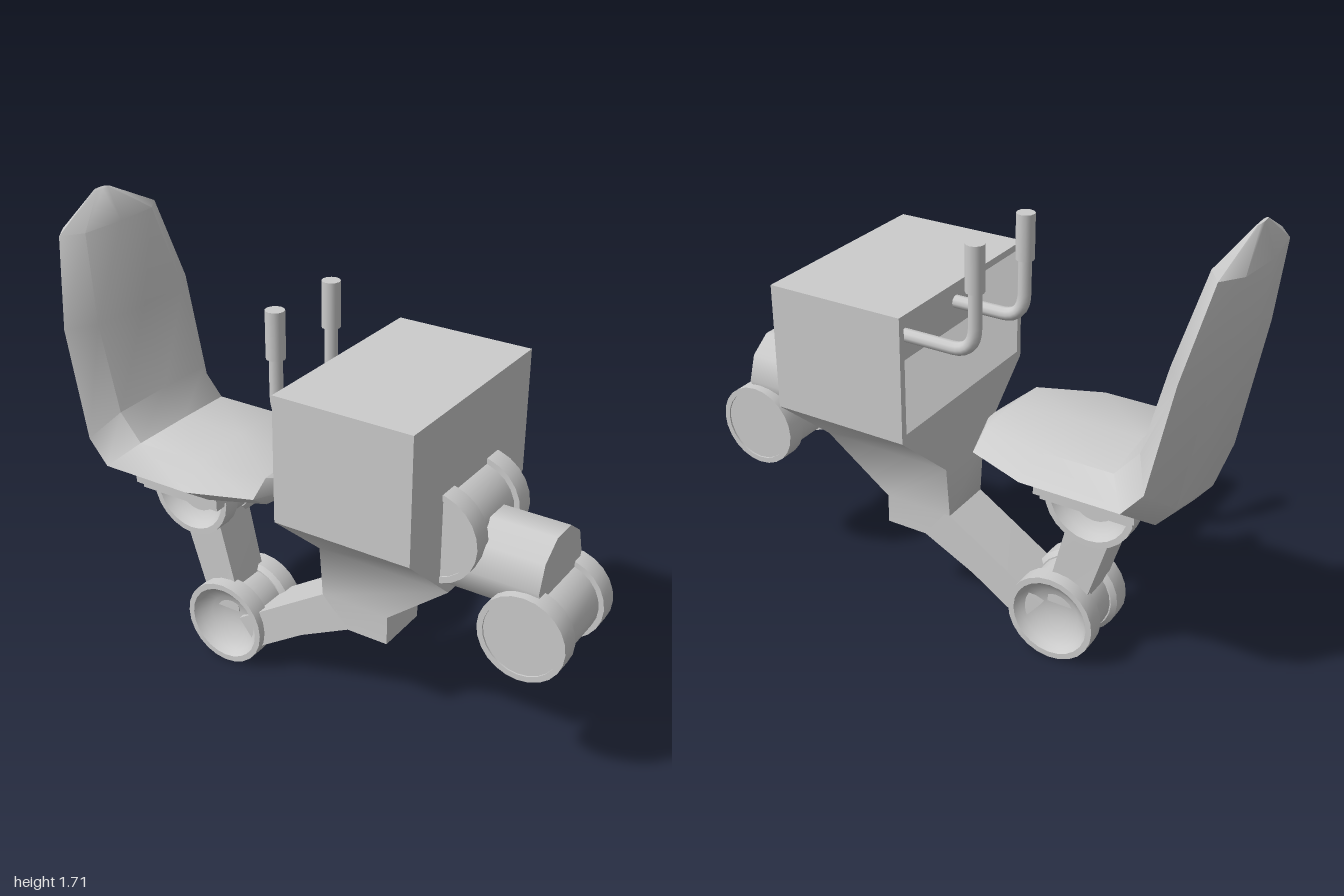
import * as THREE from 'three';
import { toCreasedNormals } from 'three/addons/utils/BufferGeometryUtils.js';

const grey = new THREE.MeshStandardMaterial({ color: 0xcccccc });

export function createModel() {
  const model = new THREE.Group();

  const add = (name, geometry, x = 0, y = 0, z = 0, parent = model) => {
    const mesh = new THREE.Mesh(geometry, grey);
    mesh.name = name;
    mesh.position.set(x, y, z);
    parent.add(mesh);
    return mesh;
  };

  // Skin over a row of closed rings (counter-clockwise about the travel direction), capped at both ends
  const loft = (rings, crease = 0.5) => {
    const n = rings[0].length, points = rings.flat(), index = [];
    for (let i = 0; i < rings.length - 1; i++) {
      for (let j = 0; j < n; j++) {
        const a = i * n + j, b = i * n + (j + 1) % n;
        index.push(a, b, b + n, a, b + n, a + n);
      }
    }
    const last = (rings.length - 1) * n;
    for (let j = 1; j < n - 1; j++) index.push(0, j + 1, j, last, last + j, last + j + 1);
    const g = new THREE.BufferGeometry();
    g.setAttribute('position', new THREE.Float32BufferAttribute(points.flat(), 3));
    g.setIndex(index);
    return toCreasedNormals(g, crease);
  };

  // Turned part with its axis along z; profile is [radius, z] pairs
  const turned = (profile, segments = 24) => {
    const g = new THREE.LatheGeometry(profile.map(([r, z]) => new THREE.Vector2(r, z)), segments);
    return toCreasedNormals(g.rotateX(Math.PI / 2), 0.7);
  };

  // Seat: stations from the front lip to the top of the back
  // [upper x, upper y, lower x, lower y, half width]
  const seatStations = [
    [-0.07, 0.83, -0.07, 0.79, 0.05],
    [-0.14, 0.88, -0.14, 0.75, 0.25],
    [-0.38, 0.9, -0.34, 0.725, 0.335],
    [-0.63, 0.9, -0.82, 0.725, 0.335],
    [-0.715, 1.0, -0.88, 0.8, 0.335],
    [-0.79, 1.3, -0.96, 1.3, 0.33],
    [-0.87, 1.6, -1, 1.6, 0.25],
    [-0.945, 1.7, -0.96, 1.705, 0.04],
  ];
  // [fraction from upper to lower surface, fraction of half width]
  const seatSection = [[0, 0], [0.06, -0.7], [0.45, -1], [0.85, -0.7], [1, 0], [0.85, 0.7], [0.45, 1], [0.06, 0.7]];
  add('seat', loft(seatStations.map(([ux, uy, lx, ly, w]) =>
    seatSection.map(([t, s]) => [ux + (lx - ux) * t, uy + (ly - uy) * t, s * w])), 0.75));

  // Mounting plates below the seat
  add('seatPlate', new THREE.BoxGeometry(0.365, 0.05, 0.4), -0.522, 0.725, 0);
  add('seatLowerPlate', new THREE.BoxGeometry(0.335, 0.03, 0.36), -0.522, 0.69, 0);

  // Hollow-ended joints: two dished caps on an axle
  const capProfile = [[0, 0.05], [0.148, 0.05], [0.165, 0.065], [0.165, 0.135], [0.143, 0.135],
    [0.125, 0.112], [0.09, 0.09], [0.045, 0.078], [0, 0.074]];
  const dishedJoint = (name, x, y) => {
    const joint = new THREE.Group();
    joint.name = name;
    joint.position.set(x, y, 0);
    for (const side of [0, Math.PI]) add('jointCap', turned(capProfile), 0, 0, 0, joint).rotation.y = side;
    add('jointAxle', turned([[0.143, -0.055], [0.143, 0.055]]), 0, 0, 0, joint);
    model.add(joint);
  };
  dishedJoint('kneeJoint', -0.38, 0.165);
  dishedJoint('seatJoint', -0.512, 0.682);

  // Rectangular rings across y and across x
  const ringY = (y, x0, x1, w) => [[x1, y, w], [x1, y, -w], [x0, y, -w], [x0, y, w]];
  const ringX = (tx, ty, bx, by, w) => [[tx, ty, -w], [tx, ty, w], [bx, by, w], [bx, by, -w]];

  // Strut from the knee up to the seat
  add('seatStrut', loft([
    ringY(0.2, -0.475, -0.345, 0.085),
    ringY(0.3, -0.505, -0.355, 0.085),
    ringY(0.55, -0.58, -0.415, 0.09),
    ringY(0.66, -0.58, -0.44, 0.09),
  ]));

  // Arm from the knee to the body
  add('supportArm', loft([
    ringX(-0.33, 0.19, -0.25, 0.09, 0.105),
    ringX(-0.12, 0.325, -0.05, 0.22, 0.105),
    ringX(0.06, 0.44, 0.15, 0.32, 0.105),
  ]));

  // Flared lower body
  add('lowerBody', loft([
    ringY(0.32, 0.15, 0.31, 0.105),
    ringY(0.43, 0.045, 0.31, 0.105),
    ringY(0.63, 0.045, 0.55, 0.125),
    ringY(0.86, 0.045, 0.55, 0.385),
  ], 0.8));

  // Upper body with a recess facing the seat
  const shellRing = (x, y0, y1, w) => ringX(x, y1, x, y0, w);
  add('upperBody', loft([
    shellRing(0.2, 1.02, 1.27, 0.32),
    shellRing(0.045, 0.885, 1.285, 0.36),
    shellRing(0.045, 0.86, 1.31, 0.385),
    shellRing(0.55, 0.86, 1.31, 0.385),
  ], 0.3));

  // Control levers rising from the recess
  const leverPath = new THREE.CurvePath();
  const v = (x, y) => new THREE.Vector3(x, y, 0);
  leverPath.add(new THREE.LineCurve3(v(0.21, 1.115), v(0.01, 1.115)));
  leverPath.add(new THREE.QuadraticBezierCurve3(v(0.01, 1.115), v(-0.077, 1.115), v(-0.077, 1.21)));
  leverPath.add(new THREE.LineCurve3(v(-0.077, 1.21), v(-0.077, 1.35)));
  for (const z of [-0.132, 0.19]) {
    const lever = new THREE.Group();
    lever.name = 'controlLever';
    lever.position.z = z;
    add('leverRod', new THREE.TubeGeometry(leverPath, 24, 0.024, 10), 0, 0, 0, lever);
    add('leverGrip', new THREE.CylinderGeometry(0.033, 0.033, 0.165, 12), -0.077, 1.417, 0, lever);
    model.add(lever);
  }

  // Spool joints of the rear arm
  const spool = turned([[0, -0.178], [0.143, -0.178], [0.143, -0.184], [0.165, -0.184], [0.165, -0.11], [0.145, -0.11],
    [0.145, 0.11], [0.165, 0.11], [0.165, 0.184], [0.143, 0.184], [0.143, 0.178], [0, 0.178]]);
  add('shoulderJoint', spool, 0.515, 0.865, 0.009);
  add('elbowJoint', spool, 0.846, 0.598, 0.009).scale.set(0.935, 0.935, 1);

  // Ten-sided link between the spool joints
  const link = new THREE.CylinderGeometry(0.157, 0.157, 0.36, 10).rotateZ(Math.PI / 2);
  add('armLink', link, 0.705, 0.765, 0.009);

  return model;
}
